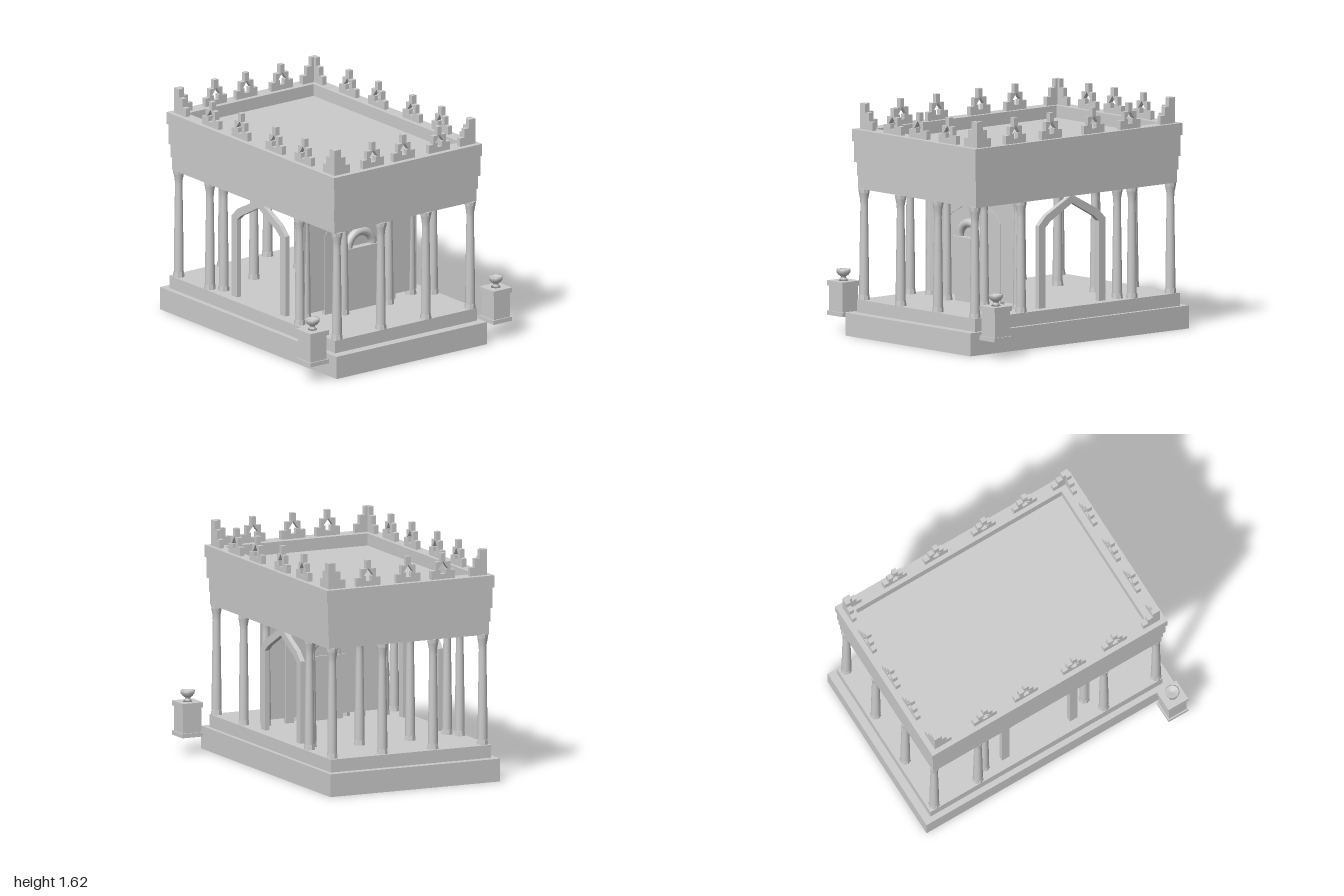
import * as THREE from 'three';

const grey = new THREE.MeshStandardMaterial({ color: 0xcccccc, side: THREE.DoubleSide });
const flat = new THREE.MeshStandardMaterial({ color: 0xcccccc, side: THREE.DoubleSide, flatShading: true });

function add(parent, name, geometry, x = 0, y = 0, z = 0, material = grey) {
  const mesh = new THREE.Mesh(geometry, material);
  mesh.name = name;
  mesh.position.set(x, y, z);
  parent.add(mesh);
  return mesh;
}

// Box given by its limits; an open one has no underside
function slab(parent, name, [x0, x1], [y0, y1], [z0, z1], open = false) {
  const g = new THREE.BoxGeometry(x1 - x0, y1 - y0, z1 - z0);
  if (open) {
    const index = Array.from(g.index.array);
    index.splice(18, 6);
    g.setIndex(index);
    g.clearGroups();
  }
  return add(parent, name, g, (x0 + x1) / 2, (y0 + y1) / 2, (z0 + z1) / 2);
}

const points = (list) => list.map(([x, y]) => new THREE.Vector2(x, y));

// Outline extruded evenly about its own plane
function plate(outline, depth, hole) {
  const shape = new THREE.Shape(points(outline));
  if (hole) shape.holes.push(new THREE.Path(points(hole)));
  const g = new THREE.ExtrudeGeometry(shape, { depth, bevelEnabled: false });
  return g.translate(0, 0, -depth / 2);
}

// Right half of an outline, mirrored to a closed one
const mirrored = (half) => [...half, ...half.filter(([x]) => x > 0).reverse().map(([x, y]) => [-x, y])];

const lathe = (profile, sides) => new THREE.LatheGeometry(points(profile), sides);

function makeColumn() {
  const column = new THREE.Group();
  column.name = 'column';
  add(column, 'columnBase', new THREE.CylinderGeometry(0.037, 0.04, 0.035, 8), 0, 0.268, 0, flat);
  add(column, 'columnShaft', lathe([[0.034, 0.285], [0.034, 0.4], [0.031, 0.6], [0.028, 0.8],
    [0.026, 0.91], [0.028, 0.95], [0.037, 0.995]], 16));
  add(column, 'columnCapital', new THREE.CylinderGeometry(0.04, 0.038, 0.028, 8), 0, 1.008, 0, flat);
  return column;
}

function makePedestal() {
  const pedestal = new THREE.Group();
  pedestal.name = 'pedestal';
  slab(pedestal, 'pedestalFoot', [-0.08, 0.08], [0.12, 0.15], [-0.08, 0.08], true);
  slab(pedestal, 'pedestalBody', [-0.07, 0.07], [0.15, 0.325], [-0.07, 0.07], true);
  slab(pedestal, 'pedestalCap', [-0.08, 0.08], [0.325, 0.36], [-0.08, 0.08]);
  add(pedestal, 'bowl', lathe([[0, 0.36], [0.034, 0.36], [0.02, 0.376], [0.018, 0.388], [0.035, 0.4],
    [0.049, 0.418], [0.05, 0.438], [0.042, 0.438], [0, 0.428]], 10));
  return pedestal;
}

// Pointed arch frame on two posts
function archGeometry(depth) {
  const half = [[0.243, 0.25], [0.305, 0.25], [0.305, 0.825], [0.24, 0.89], [0, 1.015]];
  const inner = [[0.243, 0.81], [0.2, 0.848], [0, 0.957]];
  const flip = (list) => list.map(([x, y]) => [-x, y]);
  return plate([...half, ...flip(half.slice(0, 4)).reverse(), ...flip(inner), ...inner.slice(0, 2).reverse()], depth);
}

export function createModel() {
  const model = new THREE.Group();
  model.name = 'pavilion';

  // Stepped platform, hollow underneath
  slab(model, 'platform', [-0.664, 0.638], [0, 0.16], [-1, 1], true);
  slab(model, 'platformStep', [-0.624, 0.608], [0.16, 0.25], [-0.944, 0.93]);

  // Entablature widening upwards
  slab(model, 'architrave', [-0.622, 0.608], [1.02, 1.11], [-0.918, 0.922], true);
  slab(model, 'frieze', [-0.63, 0.615], [1.11, 1.205], [-0.926, 0.928]);
  slab(model, 'cornice', [-0.64, 0.625], [1.205, 1.35], [-0.933, 0.943]);

  // Parapet around the sunken roof
  const rect = (x0, x1, z0, z1) => [[x0, -z0], [x1, -z0], [x1, -z1], [x0, -z1]];
  const rim = plate(rect(-0.65, 0.635, -0.942, 0.952), 0.085, rect(-0.553, 0.54, -0.833, 0.828));
  add(model, 'parapet', rim.rotateX(-Math.PI / 2), 0, 1.3925, 0);

  // Outer and inner rows of columns
  const column = makeColumn();
  const place = (x, z) => {
    const copy = column.clone();
    copy.position.set(x, 0, z);
    model.add(copy);
  };
  for (const z of [0.9, 0.479, -0.537, -0.89]) for (const x of [-0.585, -0.204, 0.185, 0.57]) place(x, z);
  for (const x of [-0.467, 0.443]) place(x, 0.393);
  for (const x of [-0.53, 0.513]) place(x, -0.452);

  // Front screen wall with its arch, and an arch on each long side
  slab(model, 'screenWall', [-0.5, 0.475], [0.285, 1.03], [0.4, 0.415]);
  add(model, 'frontArch', archGeometry(0.035), -0.014, 0, 0.402);
  for (const x of [-0.542, 0.518]) add(model, 'sideArch', archGeometry(0.035), x, 0, -0.022).rotation.y = Math.PI / 2;

  // Doorway with flared lintel and rounded hood
  slab(model, 'door', [-0.148, 0.108], [0.25, 0.645], [0.39, 0.45]);
  add(model, 'doorLintel', plate([[-0.128, 0.645], [0.128, 0.645], [0.142, 0.7], [-0.142, 0.7]], 0.08), -0.02, 0, 0.425);
  add(model, 'doorHood', new THREE.TorusGeometry(0.106, 0.031, 10, 10, Math.PI), -0.02, 0.695, 0.425);

  // Stepped merlons pierced by an arrow-shaped opening
  const merlon = plate(
    mirrored([[0.092, 0], [0.092, 0.06], [0.055, 0.06], [0.055, 0.12], [0.018, 0.12], [0.018, 0.18]]), 0.035,
    mirrored([[0.02, 0.035], [0.02, 0.07], [0.037, 0.07], [0, 0.122]]));
  const y = 1.435;
  for (const z of [-0.885, 0.895]) for (const x of [-0.277, -0.01, 0.296]) add(model, 'merlon', merlon, x, y, z);
  for (const x of [-0.598, 0.588]) {
    for (const z of [-0.492, -0.162, 0.226, 0.555]) add(model, 'merlon', merlon, x, y, z).rotation.y = Math.PI / 2;
  }

  // Corner merlons: two stepped arms each
  const arm = plate([[0, 0], [0.132, 0], [0.132, 0.06], [0.094, 0.06], [0.094, 0.12],
    [0.056, 0.12], [0.056, 0.18], [0, 0.18]], 0.035);
  for (const [x, sx] of [[-0.615, 1], [0.605, -1]]) {
    for (const [z, sz] of [[-0.902, 1], [0.913, -1]]) {
      add(model, 'cornerMerlon', arm, x, y, z + sz * 0.0175).rotation.y = sx > 0 ? 0 : Math.PI;
      add(model, 'cornerMerlon', arm, x + sx * 0.0175, y, z).rotation.y = -sz * Math.PI / 2;
    }
  }

  // Free-standing pedestals beside the front
  for (const x of [-0.798, 0.791]) {
    const pedestal = makePedestal();
    pedestal.position.set(x, 0, 0.902);
    model.add(pedestal);
  }
  return model;
}
